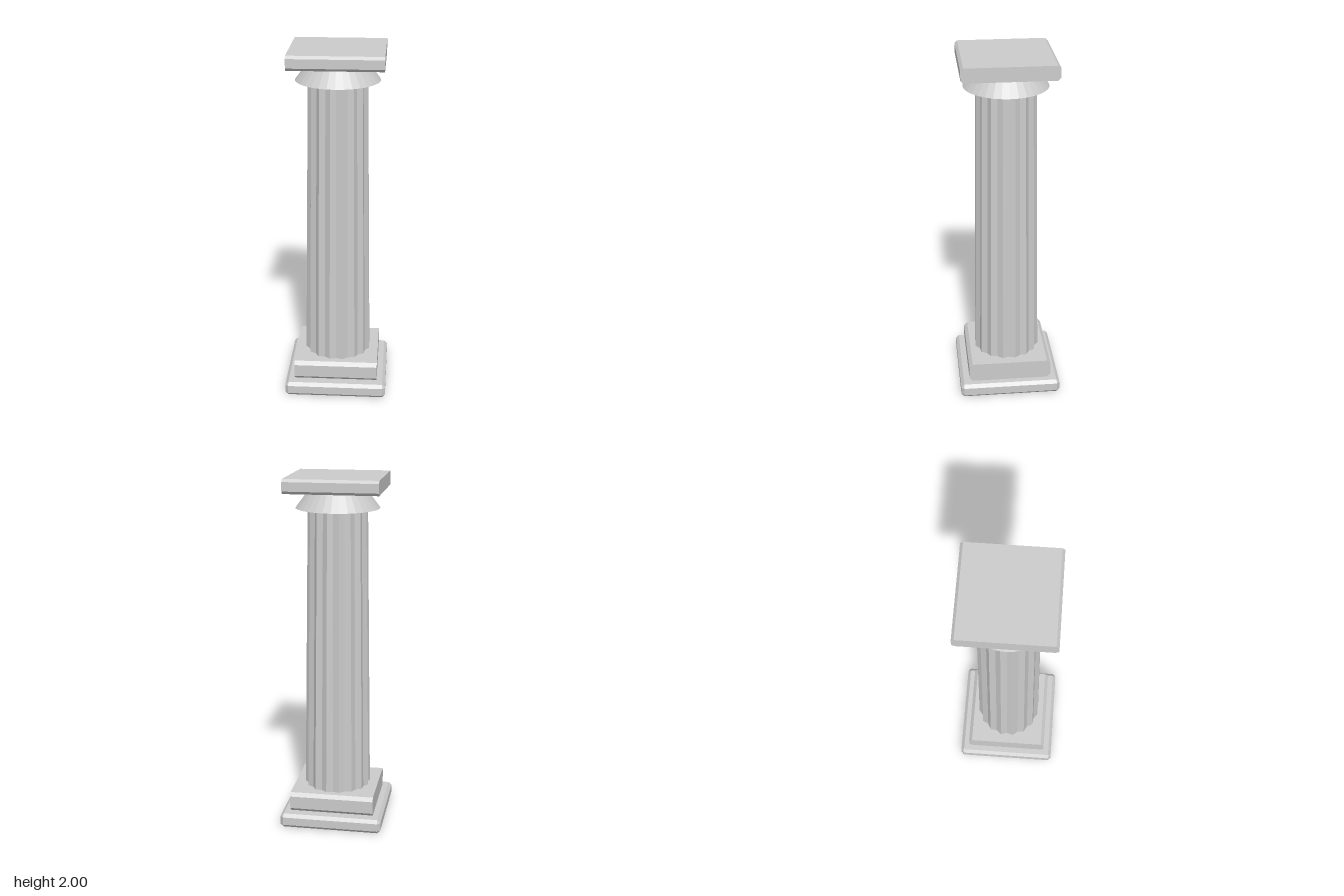
import * as THREE from 'three';
import { ConvexGeometry } from 'three/addons/geometries/ConvexGeometry.js';

const stone = new THREE.MeshStandardMaterial({ color: 0xcccccc, flatShading: true });

function addPart(group, name, geometry, y) {
  const mesh = new THREE.Mesh(geometry, stone);
  mesh.name = name;
  mesh.position.y = y;
  group.add(mesh);
}

// Square slab with half sizes w, h, d; chamfered on every edge,
// or only along the front and back edges.
function chamferedSlab(w, h, d, c, allEdges) {
  const points = [];
  for (const x of [-1, 1]) for (const y of [-1, 1]) for (const z of [-1, 1]) {
    const inset = allEdges ? c : 0;
    points.push(
      new THREE.Vector3(x * (w - inset), y * h, z * (d - c)),
      new THREE.Vector3(x * (w - inset), y * (h - c), z * d)
    );
    if (allEdges) points.push(new THREE.Vector3(x * w, y * (h - c), z * (d - c)));
  }
  return new ConvexGeometry(points);
}

// Tapered shaft whose every second edge is pulled inwards to form a flute.
function flutedShaft(topRadius, bottomRadius, height, flutes, depth) {
  const geometry = new THREE.CylinderGeometry(topRadius, bottomRadius, height, flutes * 2);
  const pos = geometry.attributes.position;
  for (let i = 0; i < pos.count; i++) {
    const step = Math.round(Math.atan2(pos.getX(i), pos.getZ(i)) / (Math.PI / flutes));
    if (step % 2 === 0) pos.setXYZ(i, pos.getX(i) * depth, pos.getY(i), pos.getZ(i) * depth);
  }
  geometry.computeVertexNormals();
  return geometry;
}

export function createModel() {
  const column = new THREE.Group();
  column.name = 'column';

  // Stepped base
  addPart(column, 'plinth', chamferedSlab(0.291, 0.041, 0.291, 0.018, true), 0.041);
  addPart(column, 'baseBlock', chamferedSlab(0.24, 0.056, 0.24, 0.02, false), 0.139);

  // Shaft
  addPart(column, 'flutedShaft', flutedShaft(0.167, 0.191, 1.626, 16, 0.92), 1.008);

  // Capital
  addPart(column, 'capitalCollar', new THREE.CylinderGeometry(0.16, 0.235, 0.1, 32), 1.87);
  addPart(column, 'capitalSlab', chamferedSlab(0.26, 0.04, 0.26, 0.015, false), 1.96);

  return column;
}
